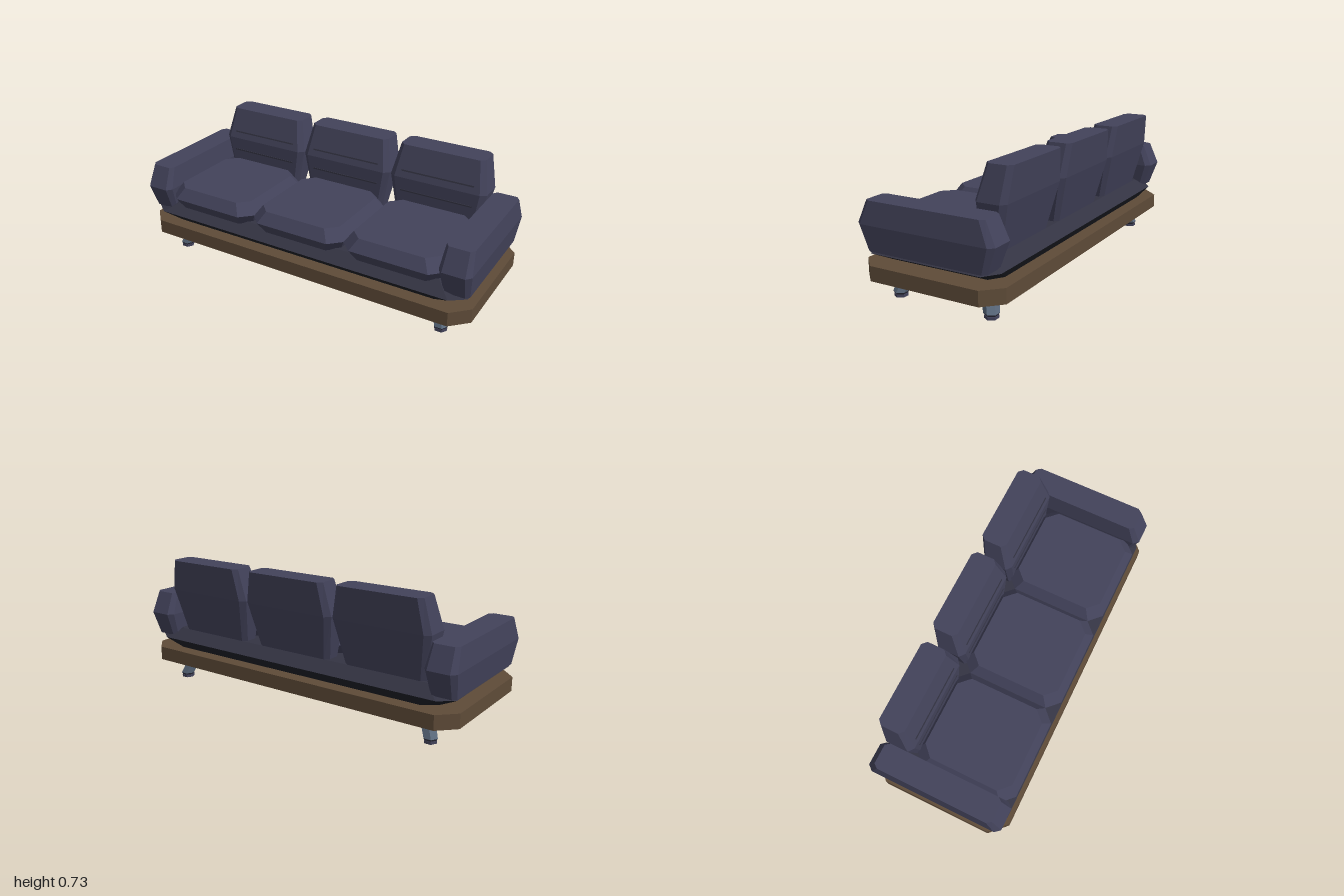
import * as THREE from 'three';

const mat = (name, color) => {
  const m = new THREE.MeshStandardMaterial({ color });
  m.name = name;
  return m;
};

// Solid lofted through chamfered rectangles; each ring is
// [y, xMin, xMax, zMin, zMax, chamferX, chamferZ], listed bottom to top.
function loft(rings) {
  const loops = rings.map(([y, x0, x1, z0, z1, cx, cz]) => [
    [x0 + cx, y, z1], [x1 - cx, y, z1], [x1, y, z1 - cz], [x1, y, z0 + cz],
    [x1 - cx, y, z0], [x0 + cx, y, z0], [x0, y, z0 + cz], [x0, y, z1 - cz],
  ]);
  const pos = [];
  const tri = (a, b, c) => pos.push(...a, ...b, ...c);
  for (let r = 0; r < loops.length - 1; r++) {
    const a = loops[r], b = loops[r + 1];
    for (let i = 0; i < 8; i++) {
      const j = (i + 1) % 8;
      tri(a[i], a[j], b[j]);
      tri(a[i], b[j], b[i]);
    }
  }
  const bottom = loops[0], top = loops[loops.length - 1];
  for (let i = 1; i < 7; i++) {
    tri(top[0], top[i], top[i + 1]);
    tri(bottom[0], bottom[i + 1], bottom[i]);
  }
  const g = new THREE.BufferGeometry();
  g.setAttribute('position', new THREE.Float32BufferAttribute(pos, 3));
  g.computeVertexNormals();
  return g;
}

// Six-sided prism between two centres, with horizontal ends
function hexPrism(x0, y0, z0, r0, x1, y1, z1, r1) {
  const g = new THREE.CylinderGeometry(r1, r0, y1 - y0, 6).toNonIndexed();
  g.rotateY(Math.PI / 2);
  const p = g.attributes.position;
  for (let i = 0; i < p.count; i++) {
    const t = p.getY(i) > 0 ? 1 : 0;
    p.setXYZ(i, p.getX(i) + (t ? x1 : x0), t ? y1 : y0, p.getZ(i) + (t ? z1 : z0));
  }
  g.computeVertexNormals();
  return g;
}

export function createModel() {
  const fabric = mat('upholstery', 0x42425a);
  const dark = mat('dark upholstery', 0x333342);
  const shadow = mat('black underside', 0x1e2027);
  const wood = mat('wood', 0x5e4b38);
  const steel = mat('steel', 0x5b6a7d);

  const sofa = new THREE.Group();
  sofa.name = 'sofa';
  const add = (name, geometry, material) => {
    const m = new THREE.Mesh(geometry, material);
    m.name = name;
    sofa.add(m);
    return m;
  };

  // Wooden platform with cut corners
  add('platform', loft([
    [0.125, -1, 1, -0.4, 0.4, 0.09, 0.09],
    [0.203, -1, 1, -0.4, 0.4, 0.09, 0.09],
  ]), wood);

  // Flared base under the cushions
  add('baseUnderside', loft([
    [0.203, -0.87, 0.87, -0.325, 0.325, 0.07, 0.05],
    [0.257, -0.975, 0.975, -0.365, 0.38, 0.08, 0.06],
  ]), shadow);
  add('baseTop', loft([
    [0.257, -0.975, 0.975, -0.365, 0.38, 0.08, 0.06],
    [0.31, -0.89, 0.89, -0.295, 0.31, 0.07, 0.05],
  ]), dark);

  // Seat cushions, back cushions and stitched seams
  for (const x of [-0.567, 0, 0.567]) {
    add('seatCushion', loft([
      [0.3, -0.25, 0.25, -0.17, 0.34, 0.06, 0.06],
      [0.365, -0.283, 0.283, -0.21, 0.38, 0.065, 0.065],
      [0.428, -0.242, 0.242, -0.17, 0.34, 0.06, 0.06],
    ]), fabric).position.x = x;

    add('backCushion', loft([
      [0.31, -0.235, 0.235, -0.295, -0.188, 0.025, 0.022],
      [0.555, -0.28, 0.28, -0.352, -0.18, 0.032, 0.025],
      [0.732, -0.243, 0.243, -0.37, -0.226, 0.025, 0.024],
    ]), fabric).position.x = x;

    for (const [y, z, tilt] of [[0.595, -0.19, -0.25], [0.48, -0.182, 0.03]]) {
      const seam = add('backSeam', new THREE.BoxGeometry(0.42, 0.008, 0.005), dark);
      seam.position.set(x, y, z);
      seam.rotation.x = tilt;
    }
  }

  for (const s of [-1, 1]) {
    // Armrests, bulging at mid height
    add(s > 0 ? 'leftArmrest' : 'rightArmrest', loft([
      [0.27, -0.07, 0.07, -0.34, 0.34, 0.018, 0.022],
      [0.405, -0.085, 0.085, -0.388, 0.388, 0.025, 0.03],
      [0.524, -0.072, 0.072, -0.335, 0.335, 0.018, 0.025],
    ]), fabric).position.x = s * 0.915;

    // Splayed legs with small feet
    for (const f of [-1, 1]) {
      const x = s * 0.83, z = f * 0.268;
      add('leg', hexPrism(x, 0.026, z, 0.04, s * 0.788, 0.13, f * 0.234, 0.043), steel);
      add('footCollar', hexPrism(x, 0.014, z, 0.032, x, 0.026, z, 0.04), dark);
      add('foot', hexPrism(x, 0, z, 0.036, x, 0.015, z, 0.036), fabric);
    }
  }
  return sofa;
}
